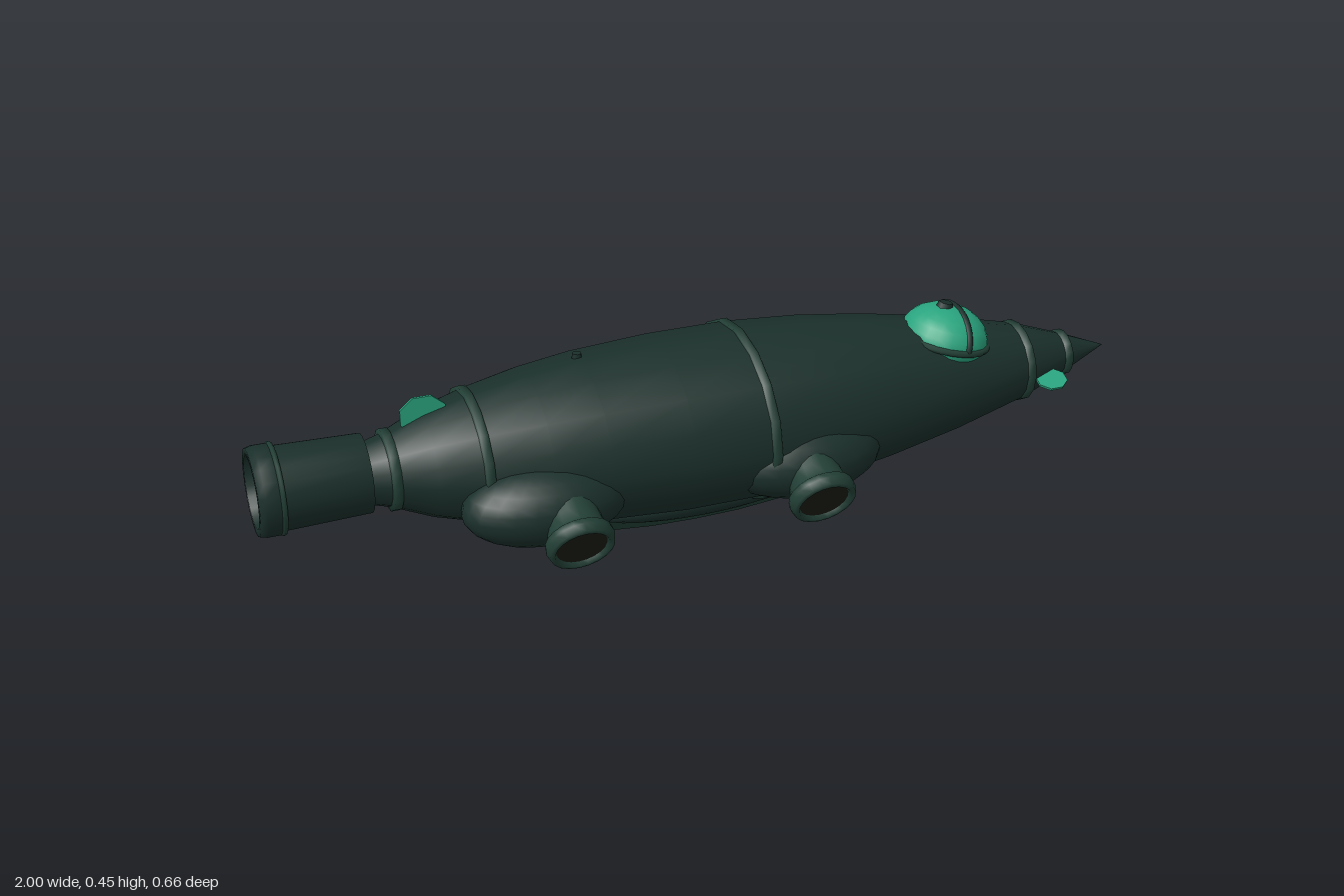
import * as THREE from 'three';

const CY = 0.256; // height of the hull axis
const mat = (color, extra = {}) => Object.assign(new THREE.MeshStandardMaterial({ color }), extra);

export function createModel() {
  const model = new THREE.Group();
  const hullMat = mat(0x1b302b);
  const trimMat = mat(0x223f36);
  const keelMat = mat(0x203d34, { flatShading: true });
  const ventMat = mat(0x1b1d14);
  const glassMat = mat(0x2aa57f);
  const finMat = mat(0x2aa57f, { flatShading: true });

  const add = (name, geometry, material, pos = [0, 0, 0], parent = model) => {
    const m = new THREE.Mesh(geometry, material);
    m.name = name;
    m.position.set(...pos);
    parent.add(m);
    return m;
  };

  // Lathe along x from [x, radius] points; thick sections grow wider than high
  const turned = (points, segments = 16) => {
    const g = new THREE.LatheGeometry(points.map(([x, r]) => new THREE.Vector2(r, x)), segments);
    g.rotateZ(-Math.PI / 2);
    const p = g.attributes.position;
    for (let i = 0; i < p.count; i++) {
      const r = Math.hypot(p.getY(i), p.getZ(i));
      p.setZ(i, p.getZ(i) * (1 + 0.24 * (r / 0.19) ** 2));
    }
    return g;
  };

  // Hull
  const hull = [[-0.77, 0.064], [-0.72, 0.078], [-0.63, 0.115], [-0.53, 0.142], [-0.4, 0.166],
    [-0.28, 0.18], [-0.1, 0.189], [0.08, 0.189], [0.25, 0.178], [0.4, 0.16], [0.58, 0.13],
    [0.77, 0.087], [0.89, 0.045], [1, 0]];
  add('hull', turned(hull), hullMat, [0, CY, 0]);

  // Raised bands around the hull
  for (const [x, r] of [[-0.71, 0.083], [-0.53, 0.142], [0.08, 0.189], [0.765, 0.088], [0.885, 0.048]]) {
    add('hullBand', turned([[x - 0.013, r - 0.012], [x - 0.009, r + 0.005],
      [x + 0.009, r + 0.005], [x + 0.013, r - 0.012]]), trimMat, [0, CY, 0]);
  }

  // Open tail thruster
  add('tailThruster', new THREE.LatheGeometry([[0, -0.9], [0.068, -0.9], [0.078, -1], [0.094, -1],
    [0.098, -0.985], [0.098, -0.955], [0.091, -0.945], [0.086, -0.76], [0.06, -0.76]]
    .map(([r, x]) => new THREE.Vector2(r, x)), 20).rotateZ(-Math.PI / 2), hullMat, [0, CY + 0.002, 0]);
  add('thrusterLip', new THREE.TorusGeometry(0.094, 0.007, 6, 20).rotateY(Math.PI / 2),
    trimMat, [-0.95, CY + 0.002, 0]);

  // Cockpit dome, tilted to follow the hull
  const cockpit = new THREE.Group();
  cockpit.name = 'cockpit';
  cockpit.position.set(0.572, 0.36, 0.02);
  cockpit.rotation.z = -0.22;
  model.add(cockpit);
  add('dome', new THREE.SphereGeometry(0.1, 20, 12), glassMat, [0, 0, 0], cockpit).scale.y = 0.74;
  add('domeRim', new THREE.TorusGeometry(0.1, 0.008, 6, 24).rotateX(Math.PI / 2), trimMat, [0, -0.002, 0], cockpit);
  add('domeStrap', new THREE.TorusGeometry(0.099, 0.007, 6, 20, Math.PI).rotateY(Math.PI / 2),
    hullMat, [0.012, 0, 0], cockpit).scale.y = 0.74;
  add('domeHatch', new THREE.CylinderGeometry(0.016, 0.02, 0.014, 6), hullMat, [-0.017, 0.074, 0], cockpit);
  add('topHatch', new THREE.CylinderGeometry(0.01, 0.012, 0.014, 8), hullMat, [-0.28, CY + 0.178, -0.03]);

  // Side pods, each with a flared nozzle pointing out and down
  const nozzle = new THREE.LatheGeometry([[0.055, -0.03], [0.06, 0.03], [0.064, 0.062], [0.073, 0.068],
    [0.075, 0.082], [0.07, 0.098], [0.06, 0.1], [0.054, 0.088]]
    .map(([r, y]) => new THREE.Vector2(r, y)), 20);
  for (const [x, side] of [[-0.415, 1], [0.17, 1], [-0.135, -1], [0.45, -1]]) {
    const pod = new THREE.Group();
    pod.name = 'sidePod';
    pod.position.set(x, 0, x > 0.4 ? 0.022 : 0);
    model.add(pod);
    const shell = add('podShell', new THREE.SphereGeometry(1, 24, 14), hullMat, [0, 0.202, side * 0.155], pod);
    shell.scale.set(0.182, 0.09, 0.104);
    const jet = new THREE.Group();
    jet.name = 'podNozzle';
    jet.position.set(side > 0 && x > 0 ? -0.005 : x < -0.4 ? 0.035 : -0.02, 0.2, side * 0.21);
    jet.rotation.x = side * 2.04;
    pod.add(jet);
    add('nozzleShell', nozzle, trimMat, [0, 0, 0], jet);
    add('nozzleVent', new THREE.CylinderGeometry(0.057, 0.057, 0.02, 20), ventMat, [0, 0.081, 0], jet);
  }

  // Curved keel: a box bent to a bow, widest halfway up
  const keel = new THREE.BoxGeometry(2, 1, 1, 12, 2, 1);
  const kp = keel.attributes.position;
  for (let i = 0; i < kp.count; i++) {
    const u = kp.getX(i), v = kp.getY(i) + 0.5;
    const bottom = 0.15 * Math.abs(u) ** 2.3, top = 0.13 + 0.035 * u * u;
    const half = (v < 0.1 ? 0.01 : v < 0.9 ? 0.028 : 0.018) * (0.15 + 0.85 * Math.sqrt(1 - u * u));
    kp.setXYZ(i, -0.025 + 0.625 * u, bottom + (top - bottom) * (v === 0.5 ? 0.4 : v), Math.sign(kp.getZ(i)) * half);
  }
  add('keel', keel, keelMat);

  // Ballast tanks beside the keel
  for (const side of [-1, 1]) {
    add('ballastTank', new THREE.SphereGeometry(1, 20, 10), hullMat, [-0.04, 0.097, side * 0.083])
      .scale.set(0.24, 0.038, 0.04);
  }

  // Thin steering fins
  const fin = (name, rx, rz, pos, tilt) => {
    const f = add(name, new THREE.CylinderGeometry(1, 1, 0.006, 8).rotateY(Math.PI / 8), finMat, pos);
    f.scale.set(rx, 1, rz);
    f.rotation.x = tilt;
  };
  fin('bowFin', 0.038, 0.032, [0.818, 0.238, 0.09], 0.38);
  fin('bowFin', 0.05, 0.04, [0.7, 0.238, -0.147], -0.3);
  fin('tailFin', 0.053, 0.045, [-0.63, 0.372, 0], Math.PI / 2);

  return model;
}
